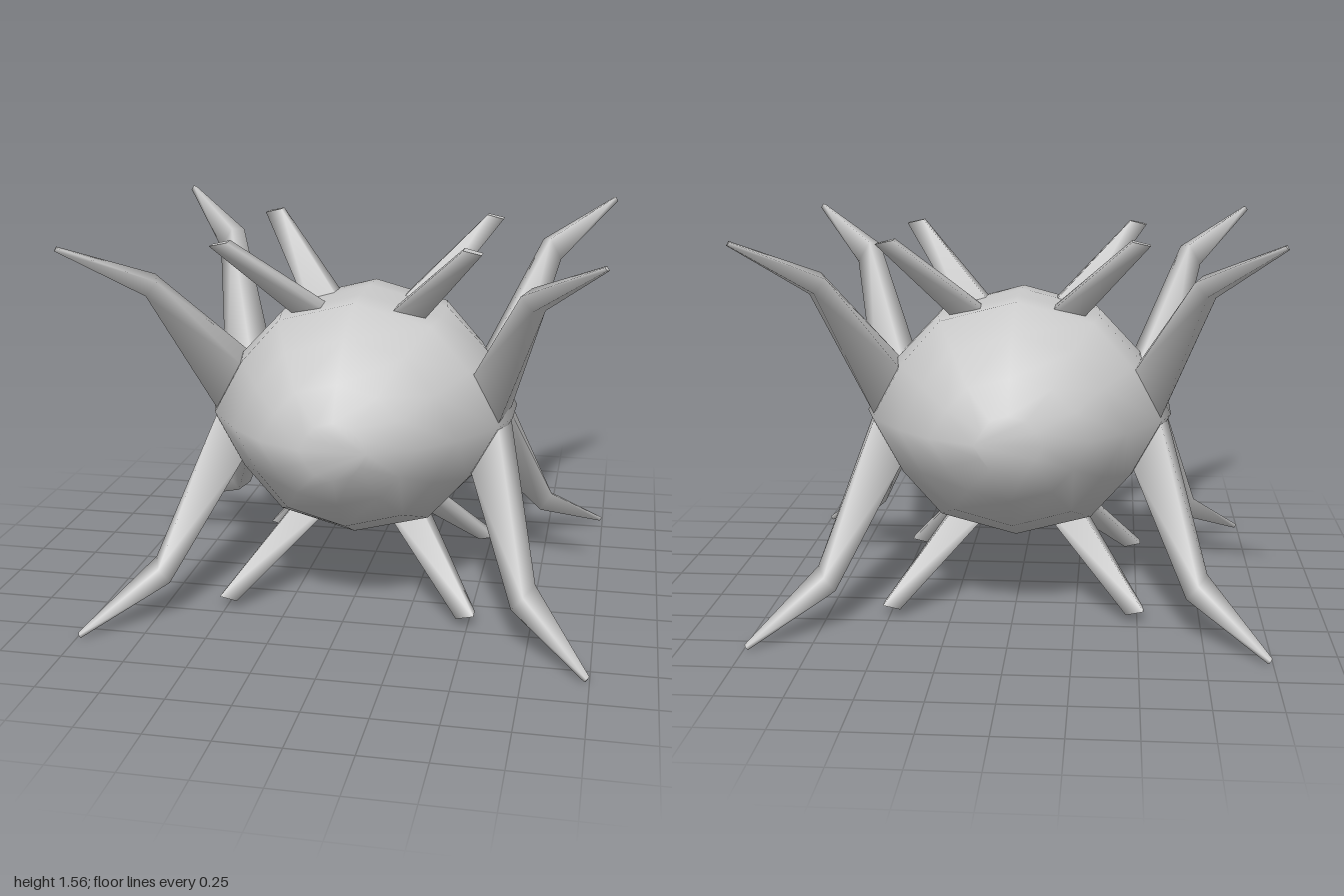
import * as THREE from 'three';

const CENTER_Y = 0.78;

// Skins a list of equal-length rings (counter-clockwise seen from the last ring) and closes both ends.
function loft(rings, flip = false, sharpCaps = true) {
  const n = rings[0].length;
  const pos = rings.flat(2);
  const index = [];
  const tri = (a, b, c) => (flip ? index.push(a, c, b) : index.push(a, b, c));
  for (let r = 0; r < rings.length - 1; r++) {
    for (let i = 0; i < n; i++) {
      const j = (i + 1) % n, a = r * n, b = a + n;
      tri(a + i, a + j, b + j);
      tri(a + i, b + j, b + i);
    }
  }
  const cap = (r, last) => {
    let start = r * n;
    if (sharpCaps) {
      start = pos.length / 3;
      pos.push(...rings[r].flat());
    }
    for (let i = 1; i < n - 1; i++) {
      if (last) tri(start, start + i, start + i + 1);
      else tri(start, start + i + 1, start + i);
    }
  };
  cap(0, false);
  cap(rings.length - 1, true);
  const geo = new THREE.BufferGeometry();
  geo.setAttribute('position', new THREE.Float32BufferAttribute(pos, 3));
  geo.setIndex(index);
  geo.computeVertexNormals();
  return geo;
}

// Rounded faceted body: one twelve-sided outline scaled along z.
function bodyGeometry() {
  const quarter = [[0.63, 0], [0.5, 0.225], [0.33, 0.405]];
  const outline = [
    ...quarter, [0, 0.487],
    ...quarter.slice(1).reverse().map(([x, y]) => [-x, y]),
    ...quarter.map(([x, y]) => [-x, -y]), [0, -0.487],
    ...quarter.slice(1).reverse().map(([x, y]) => [x, -y]),
  ];
  // z, x scale, y scale
  const half = [[0.1, 1, 1], [0.25, 0.93, 0.99], [0.45, 0.71, 0.79], [0.59, 0.49, 0.5], [0.675, 0.21, 0.235]];
  const stations = [...half.map(([z, a, b]) => [-z, a, b]).reverse(), ...half];
  return loft(stations.map(([z, a, b]) => outline.map(([x, y]) => [x * a, y * b, z])), false, false);
}

// Ring shrunk about its own centre and moved to a new centre.
function shrinkTo(ring, center, scale) {
  const mid = [0, 1, 2].map((k) => ring.reduce((s, p) => s + p[k], 0) / ring.length);
  return ring.map((p) => p.map((v, k) => center[k] + (v - mid[k]) * scale));
}

// Four-sided bent leg, heights measured from the body centre.
const legRoot = [[0.61, 0, 0], [0.5, 0.2, 0], [0.47, 0.19, 0.21], [0.58, 0, 0.22]];
const legKnee = [[0.77, 0.545, 0.52], [0.72, 0.63, 0.53], [0.685, 0.615, 0.615], [0.73, 0.56, 0.62]];
const legRings = [legRoot, legKnee, shrinkTo(legKnee, [0.99, 0.77, 0.835], 0.2)];

// Short straight horn with a blunt tip, root sunk into the body.
const hornRings = [
  [[0.02, 0.32, -0.05], [0.02, 0.32, 0.08], [0.2, 0.32, 0.08], [0.2, 0.32, -0.05]],
  [[0.455, 0.747, 0.405], [0.455, 0.745, 0.46], [0.525, 0.73, 0.46], [0.525, 0.73, 0.405]],
];

export function createModel() {
  const model = new THREE.Group();
  model.name = 'spikedCreature';
  const material = new THREE.MeshStandardMaterial({ color: 0xcccccc });
  const add = (name, geometry) => {
    const mesh = new THREE.Mesh(geometry, material);
    mesh.name = name;
    mesh.position.y = CENTER_Y;
    model.add(mesh);
  };

  add('body', bodyGeometry());

  // Legs and horns repeat in all eight octants.
  for (const sx of [1, -1]) for (const sy of [1, -1]) for (const sz of [1, -1]) {
    const mirror = (rings) => rings.map((ring) => ring.map(([x, y, z]) => [x * sx, y * sy, z * sz]));
    const flip = sx * sy * sz < 0;
    const place = (sy > 0 ? 'upper' : 'lower') + (sz > 0 ? 'Front' : 'Back') + (sx > 0 ? 'Left' : 'Right');
    add(place + 'Leg', loft(mirror(legRings), flip));
    add(place + 'Horn', loft(mirror(hornRings), flip));
  }
  return model;
}
